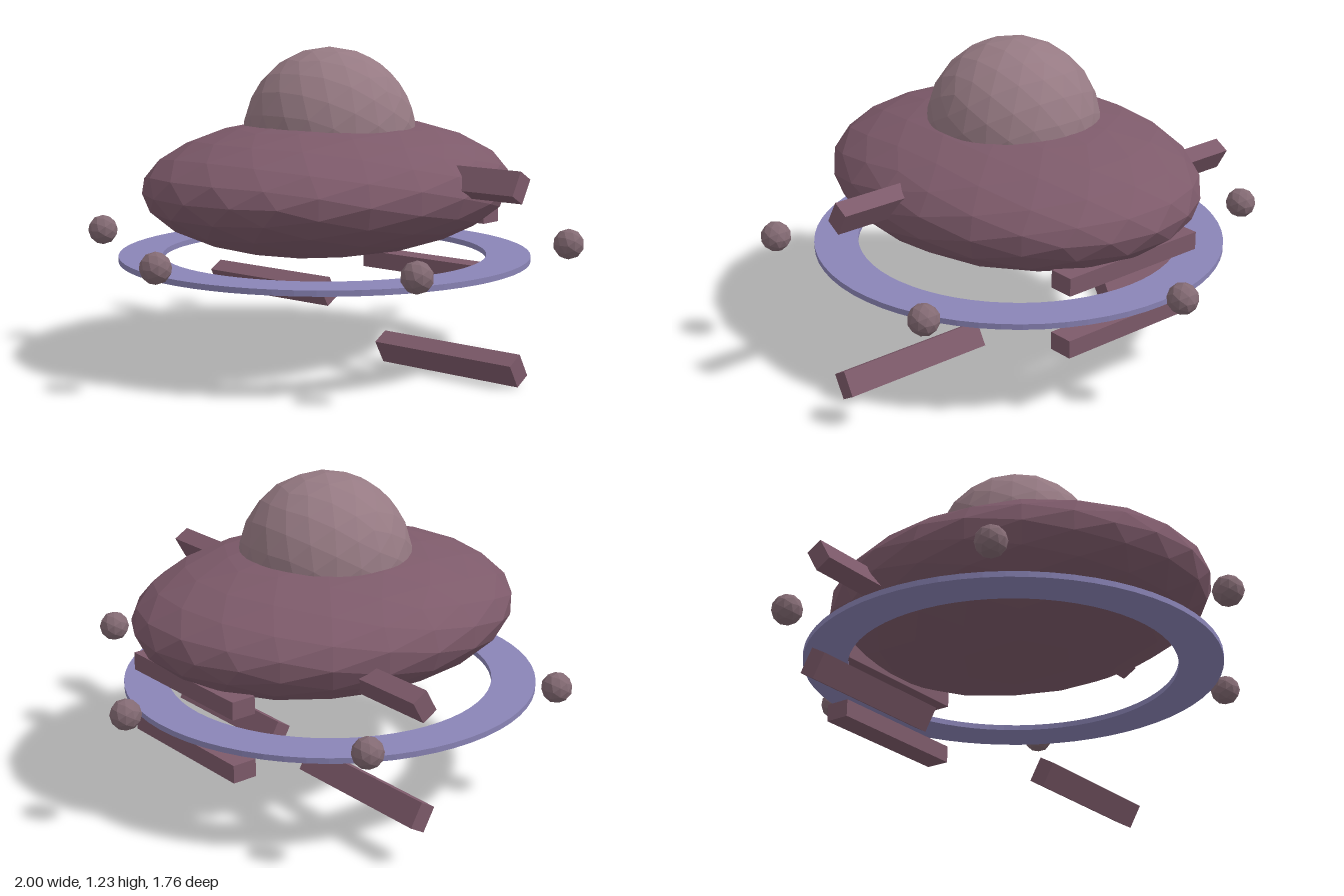
import * as THREE from 'three';

const mat = (color) => new THREE.MeshStandardMaterial({ color, flatShading: true });

export function createModel() {
  const group = new THREE.Group();
  const hullMat = mat(0x7d5a6a);
  const domeMat = mat(0x967a83);
  const orbMat = mat(0x836a73);
  const ringMat = mat(0x8a84b6);

  const add = (name, geometry, material, x, y, z) => {
    const mesh = new THREE.Mesh(geometry, material);
    mesh.name = name;
    mesh.position.set(x, y, z);
    group.add(mesh);
    return mesh;
  };

  // Faceted saucer hull and the dome sunk into its top
  add('hull', new THREE.IcosahedronGeometry(1, 3), hullMat, 0, 0.69, 0).scale.set(0.8, 0.27, 0.66);
  add('dome', new THREE.IcosahedronGeometry(0.34, 3), domeMat, 0, 0.89, 0);

  // Flat ring below the hull, set slightly towards the back
  const disc = new THREE.Shape().absarc(0, 0, 0.813, 0, Math.PI * 2, false);
  disc.holes.push(new THREE.Path().absarc(0, 0, 0.64, 0, Math.PI * 2, true));
  const ringGeo = new THREE.ExtrudeGeometry(disc, { depth: 0.022, bevelEnabled: false, curveSegments: 32 });
  ringGeo.rotateX(-Math.PI / 2);
  add('ring', ringGeo, ringMat, 0, 0.394, -0.027);

  // Six orbs circling the hull
  const orbGeo = new THREE.IcosahedronGeometry(0.06, 1);
  for (let i = 0; i < 6; i++) {
    const a = (i * Math.PI) / 3;
    add('orb' + (i + 1), orbGeo, orbMat, 0.94 * Math.cos(a), 0.48, 0.812 * Math.sin(a) / Math.sin(Math.PI / 3));
  }

  // Three pairs of struts, mirrored above and below the ring: [x, offset, z, tilt]
  const strutGeo = new THREE.BoxGeometry(0.1, 0.07, 0.64);
  const struts = [
    [0.64, 0.125, 0, 0],
    [0.053, 0.34, 0.558, Math.PI / 3],
    [0.266, 0.215, -0.558, Math.PI / 3],
  ];
  for (const [x, offset, z, tilt] of struts) {
    for (const side of [1, -1]) {
      const name = side > 0 ? 'upperStrut' : 'lowerStrut';
      add(name, strutGeo, hullMat, x, 0.405 + side * offset, z).rotation.z = side * tilt;
    }
  }

  return group;
}
